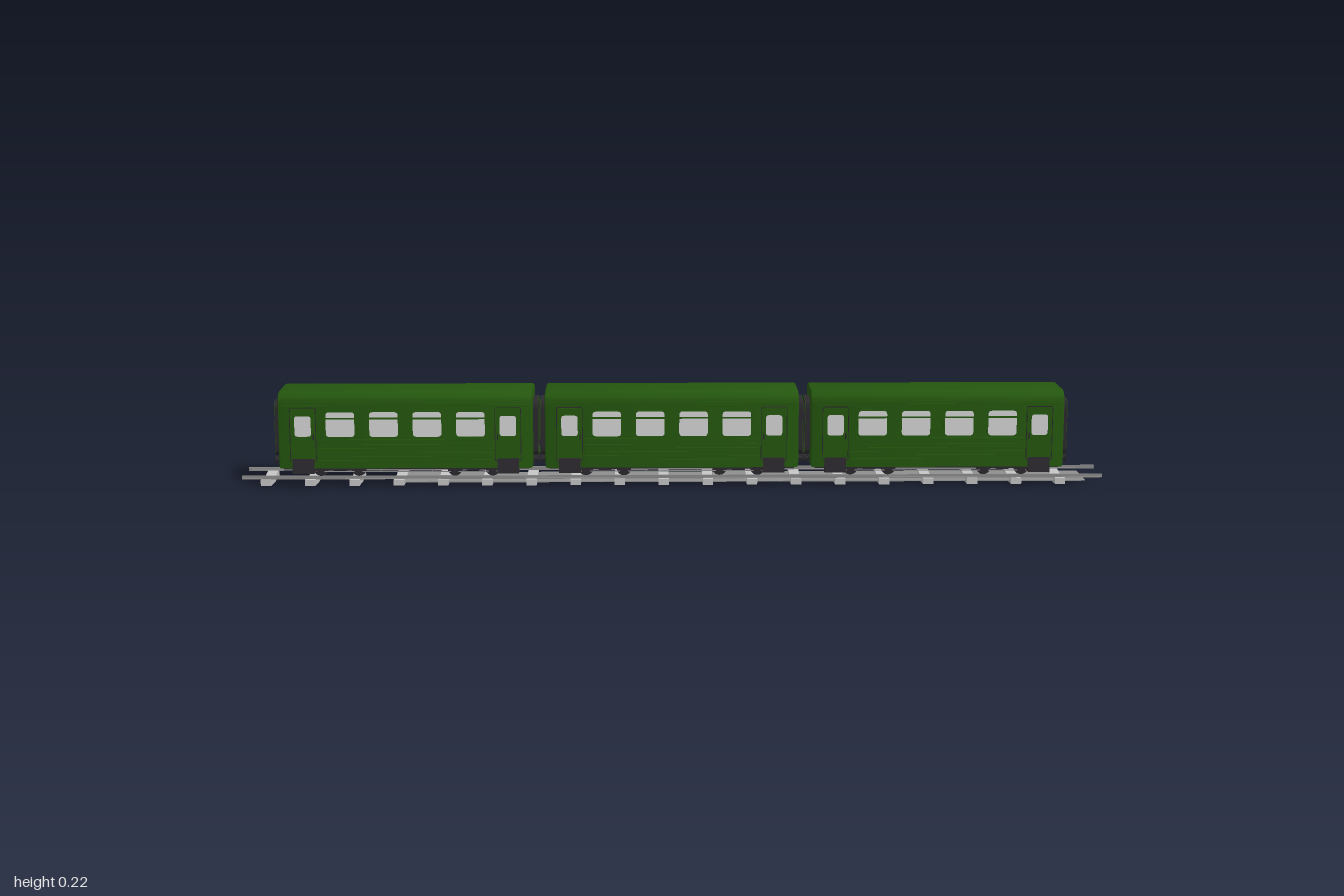
import * as THREE from 'three';
import { toCreasedNormals } from 'three/addons/utils/BufferGeometryUtils.js';

const mat = (name, color) => {
  const m = new THREE.MeshStandardMaterial({ color });
  m.name = name;
  return m;
};

const PITCH = 0.614, HALF = 0.293, SIDE = 0.073, FLOOR = 0.047, ROOF = 0.225;

// Rounded rectangle path
function roundRect(w, h, r, Type = THREE.Shape) {
  const s = new Type(), x = w / 2, y = h / 2;
  s.moveTo(-x + r, -y);
  s.lineTo(x - r, -y); s.quadraticCurveTo(x, -y, x, -y + r);
  s.lineTo(x, y - r); s.quadraticCurveTo(x, y, x - r, y);
  s.lineTo(-x + r, y); s.quadraticCurveTo(-x, y, -x, y - r);
  s.lineTo(-x, -y + r); s.quadraticCurveTo(-x, -y, -x + r, -y);
  return s;
}

const plate = (w, h, r, d) =>
  new THREE.ExtrudeGeometry(roundRect(w, h, r), { depth: d, bevelEnabled: false, curveSegments: 4 });

function frame(w, h, r, border, d) {
  const s = roundRect(w + border * 2, h + border * 2, r + border);
  s.holes.push(roundRect(w, h, r, THREE.Path));
  return new THREE.ExtrudeGeometry(s, { depth: d, bevelEnabled: false, curveSegments: 4 });
}

export function createModel() {
  const green = mat('bodyGreen', 0x24560e);
  const dark = mat('undercarriageDark', 0x2b292d);
  const glass = mat('paleGlass', 0xd6d6d6);
  const shade = mat('shadedGlass', 0x38353c);
  const steel = mat('railSteel', 0x8c8c8c);
  const concrete = mat('sleeperConcrete', 0xc4c4c4);
  const bed = mat('trackBed', 0x8e8e8e);

  const add = (parent, name, geo, material, x = 0, y = 0, z = 0) => {
    const m = new THREE.Mesh(geo, material);
    m.name = name;
    m.position.set(x, y, z);
    parent.add(m);
    return m;
  };
  const box = (parent, name, material, w, h, d, x, y, z) =>
    add(parent, name, new THREE.BoxGeometry(w, h, d), material, x, y, z);
  const group = (parent, name) => {
    const g = new THREE.Group();
    g.name = name;
    parent.add(g);
    return g;
  };

  // Body shell: rounded roof section extruded along the car
  const section = new THREE.Shape();
  section.moveTo(-SIDE, FLOOR);
  section.lineTo(SIDE, FLOOR);
  section.lineTo(SIDE, ROOF - 0.028);
  section.bezierCurveTo(SIDE, ROOF - 0.012, SIDE - 0.01, ROOF, SIDE - 0.026, ROOF);
  section.lineTo(-SIDE + 0.026, ROOF);
  section.bezierCurveTo(-SIDE + 0.01, ROOF, -SIDE, ROOF - 0.012, -SIDE, ROOF - 0.028);
  const bevel = 0.005;
  const shell = toCreasedNormals(new THREE.ExtrudeGeometry(section, {
    depth: HALF * 2 - bevel * 2, bevelSize: bevel, bevelThickness: bevel,
    bevelOffset: -bevel, bevelSegments: 2, curveSegments: 10,
  }).translate(0, 0, -HALF + bevel).rotateY(Math.PI / 2), 0.6);

  // Flared door step section
  const stepShape = new THREE.Shape([
    [0.06, 0.036], [0.081, 0.036], [0.077, 0.07], [0.07, 0.07], [0.07, 0.043], [0.06, 0.043],
  ].map(([z, y]) => new THREE.Vector2(-z, y)));
  const stepGeo = new THREE.ExtrudeGeometry(stepShape, { depth: 0.05, bevelEnabled: false })
    .translate(0, 0, -0.025).rotateY(Math.PI / 2);

  // One long side, built facing +z
  function addSide(car, dir) {
    const side = group(car, dir > 0 ? 'frontSide' : 'backSide');
    side.rotation.y = dir > 0 ? 0 : Math.PI;
    const pane = dir > 0 ? glass : shade;
    for (const x of [-0.15, -0.05, 0.05, 0.15]) {
      add(side, 'windowFrame', frame(0.066, 0.058, 0.008, 0.003, 0.002), green, x, 0.15, SIDE);
      add(side, 'windowPane', plate(0.066, 0.058, 0.008, 0.001), pane, x, 0.15, SIDE);
      box(side, 'windowBar', green, 0.066, 0.004, 0.002, x, 0.164, SIDE + 0.001);
    }
    for (const x of [-0.236, 0.236]) {
      add(side, 'doorSurround', frame(0.058, 0.124, 0.004, 0.0015, 0.002), dark, x, 0.126, SIDE);
      add(side, 'door', plate(0.056, 0.122, 0.004, 0.001), green, x, 0.126, SIDE);
      add(side, 'doorWindow', plate(0.038, 0.048, 0.007, 0.002), pane, x, 0.146, SIDE);
      add(side, 'doorWindowFrame', frame(0.038, 0.048, 0.007, 0.002, 0.003), green, x, 0.146, SIDE);
      box(side, 'doorHandle', dark, 0.003, 0.014, 0.003, x - Math.sign(x) * 0.024, 0.12, SIDE + 0.002);
      add(side, 'doorStep', stepGeo, dark, x, 0, 0).rotation.y = Math.PI;
    }
    // Ribbed lower panel and waist and cornice mouldings
    for (let i = 0; i < 5; i++)
      box(side, 'lowerRib', green, 0.40, 0.003, 0.003, 0, 0.065 + i * 0.009, SIDE + 0.001);
    box(side, 'waistMoulding', green, 0.40, 0.003, 0.004, 0, 0.114, SIDE + 0.001);
    box(side, 'corniceMoulding', green, HALF * 2 - 0.02, 0.003, 0.003, 0, 0.194, SIDE);
    box(side, 'trussRod', steel, 0.42, 0.002, 0.002, 0, 0.037, 0.062);
    for (const x of [-0.06, 0.06])
      box(side, 'trussPost', steel, 0.002, 0.012, 0.002, x, 0.042, 0.062);
  }

  // One car end, built facing +z and turned towards the end of the car
  function addEnd(car, dir) {
    const end = group(car, dir > 0 ? 'leftEnd' : 'rightEnd');
    end.rotation.y = dir * Math.PI / 2;
    add(end, 'gangwayBellows', frame(0.078, 0.118, 0.012, 0.006, 0.011), dark, 0, 0.135, HALF);
    add(end, 'gangwayPanel', plate(0.078, 0.118, 0.012, 0.004), green, 0, 0.135, HALF);
    add(end, 'gangwayFace', frame(0.082, 0.122, 0.014, 0.003, 0.001), green, 0, 0.135, HALF + 0.011);
    add(end, 'endDoorSurround', frame(0.05, 0.085, 0.003, 0.002, 0.002), dark, 0, 0.13, HALF + 0.004);
    add(end, 'endDoor', plate(0.05, 0.085, 0.003, 0.001), green, 0, 0.13, HALF + 0.004);
    add(end, 'endDoorWindow', plate(0.014, 0.02, 0.003, 0.002), dir > 0 ? glass : shade, 0, 0.148, HALF + 0.004);
    for (const x of [-0.035, 0.035]) {
      add(end, 'bufferStem', new THREE.CylinderGeometry(0.005, 0.006, 0.012, 12), dark, x, 0.061, HALF + 0.004).rotation.x = Math.PI / 2;
      add(end, 'bufferHead', new THREE.CylinderGeometry(0.0095, 0.0095, 0.003, 16), dark, x, 0.061, HALF + 0.011).rotation.x = Math.PI / 2;
    }
    box(end, 'bufferBeam', dark, 0.09, 0.012, 0.004, 0, 0.06, HALF);
    box(end, 'couplerHook', dark, 0.01, 0.009, 0.014, 0, 0.058, HALF + 0.006);
  }

  function addBogie(car, x) {
    const bogie = group(car, 'bogie');
    bogie.position.x = x;
    box(bogie, 'bolster', dark, 0.03, 0.012, 0.11, 0, 0.044, 0);
    for (const wx of [-0.044, 0.044]) {
      add(bogie, 'axle', new THREE.CylinderGeometry(0.004, 0.004, 0.118, 10), dark, wx, 0.042, 0).rotation.x = Math.PI / 2;
      for (const s of [-1, 1]) {
        add(bogie, 'wheel', new THREE.CylinderGeometry(0.017, 0.017, 0.006, 20), dark, wx, 0.042, s * 0.05).rotation.x = Math.PI / 2;
        box(bogie, 'axleBox', dark, 0.018, 0.014, 0.01, wx, 0.042, s * 0.06);
      }
    }
    for (const s of [-1, 1])
      box(bogie, 'sideFrame', dark, 0.12, 0.007, 0.008, 0, 0.045, s * 0.059);
  }

  const model = new THREE.Group();
  model.name = 'passengerTrain';

  for (const i of [-1, 0, 1]) {
    const car = group(model, 'passengerCar');
    car.position.x = i * PITCH - 0.003;
    add(car, 'bodyShell', shell, green);
    box(car, 'underframe', dark, HALF * 2 - 0.02, 0.004, SIDE * 2 - 0.012, 0, FLOOR - 0.001, 0);
    for (const d of [1, -1]) {
      addSide(car, d);
      addEnd(car, d);
      addBogie(car, d * 0.155);
    }
  }

  // Track: rails, dipped sleepers and bed
  const track = group(model, 'track');
  for (const s of [-1, 1]) {
    box(track, 'railHead', steel, 2, 0.003, 0.004, 0, 0.0235, s * 0.05);
    box(track, 'railWeb', steel, 2, 0.006, 0.002, 0, 0.02, s * 0.05);
    box(track, 'railFoot', steel, 2, 0.002, 0.008, 0, 0.018, s * 0.05);
  }
  const sleeperShape = new THREE.Shape([
    [-0.065, 0.004], [-0.04, 0.003], [0, 0], [0.04, 0.003], [0.065, 0.004],
    [0.065, 0.018], [0.04, 0.017], [0, 0.013], [-0.04, 0.017], [-0.065, 0.018],
  ].map(([z, y]) => new THREE.Vector2(z, y)));
  const sleeperGeo = new THREE.ExtrudeGeometry(sleeperShape, { depth: 0.024, bevelEnabled: false })
    .translate(0, 0, -0.012).rotateY(Math.PI / 2);
  for (let i = 0; i < 19; i++)
    add(track, 'sleeper', sleeperGeo, concrete, -0.943 + i * 0.1024);
  box(track, 'trackBed', bed, 1.6, 0.002, 0.11, 0.16, 0.01, 0);

  return model;
}
